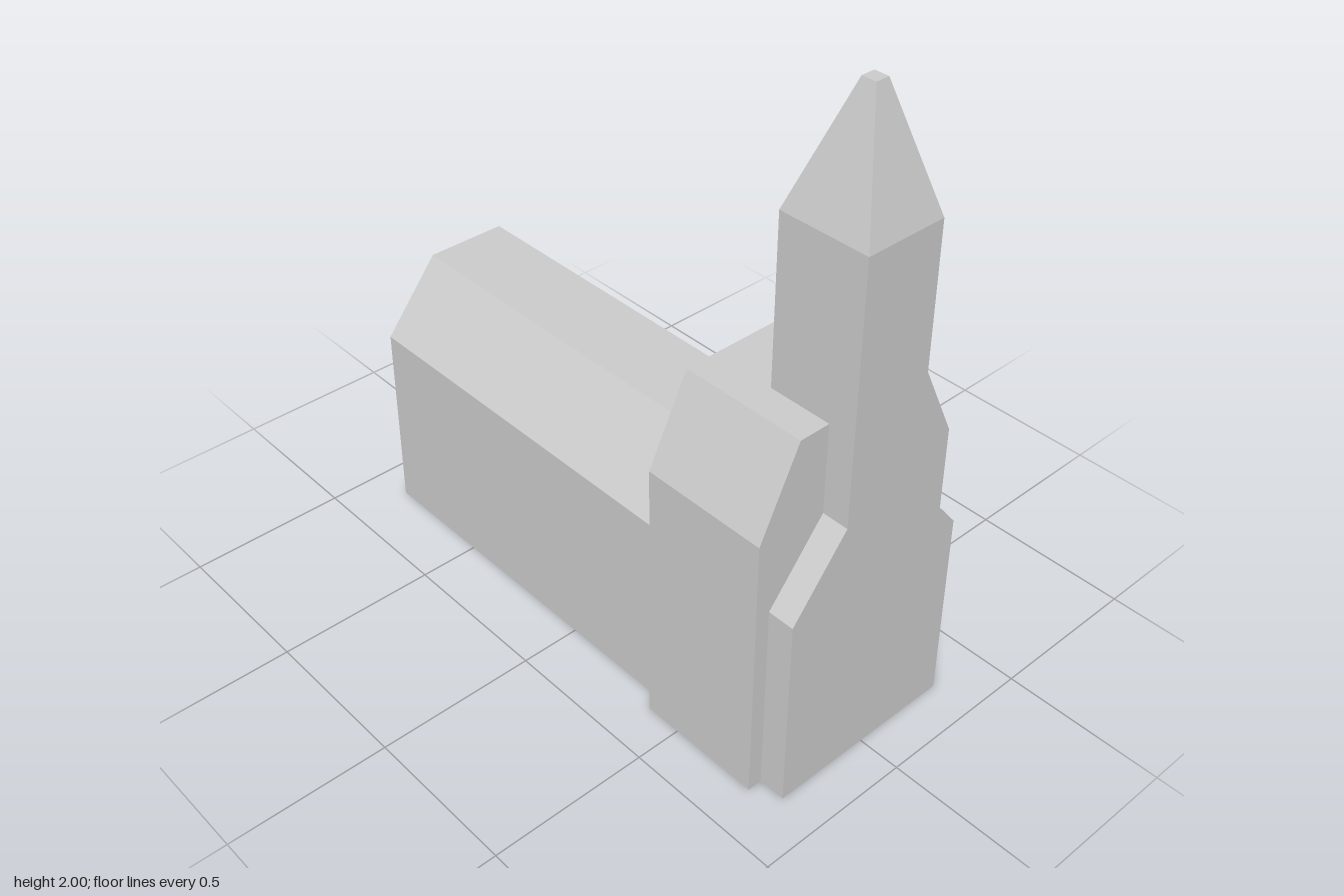
import * as THREE from 'three';

const material = new THREE.MeshStandardMaterial({ color: 0xcccccc, flatShading: true });

function addPart(group, name, geometry) {
  const mesh = new THREE.Mesh(geometry, material);
  mesh.name = name;
  group.add(mesh);
  return mesh;
}

// Block with a flat-topped, sloped roof, extruded from zBack to zFront
function hall(halfWidth, eaveY, ridgeHalfWidth, ridgeY, zBack, zFront) {
  const shape = new THREE.Shape([
    [-halfWidth, 0], [halfWidth, 0], [halfWidth, eaveY],
    [ridgeHalfWidth, ridgeY], [-ridgeHalfWidth, ridgeY], [-halfWidth, eaveY],
  ].map(([x, y]) => new THREE.Vector2(x, y)));
  return new THREE.ExtrudeGeometry(shape, { depth: zFront - zBack, bevelEnabled: false })
    .translate(0, 0, zBack);
}

export function createModel() {
  const group = new THREE.Group();
  group.name = 'church';
  const front = 0.867, towerBack = 0.585, towerHalf = 0.129;
  const naveTop = 0.846, towerTop = 1.642, spireTop = 2;
  const towerDepth = front - towerBack, towerZ = (front + towerBack) / 2;

  // Long nave and the wider, taller cross block
  addPart(group, 'nave', hall(0.31, 0.623, towerHalf, naveTop, -front, front));
  addPart(group, 'crossBlock', hall(0.356, 0.862, 0.228, 1.127, 0.383, 0.784));

  // Tower rises flush with the nave front
  addPart(group, 'tower', new THREE.BoxGeometry(towerHalf * 2, towerTop - naveTop, towerDepth)
    .translate(0, (naveTop + towerTop) / 2, towerZ));

  // Truncated spire: top of the box narrowed and moved slightly forward
  const height = spireTop - towerTop;
  const spire = new THREE.BoxGeometry(towerHalf * 2, height, towerDepth);
  const p = spire.attributes.position;
  for (let i = 0; i < p.count; i++) {
    if (p.getY(i) > 0) {
      p.setX(i, Math.sign(p.getX(i)) * 0.021);
      p.setZ(i, Math.sign(p.getZ(i)) * 0.022 + 0.01);
    }
  }
  spire.translate(0, towerTop + height / 2, towerZ);
  spire.computeVertexNormals();
  addPart(group, 'spire', spire);

  return group;
}
